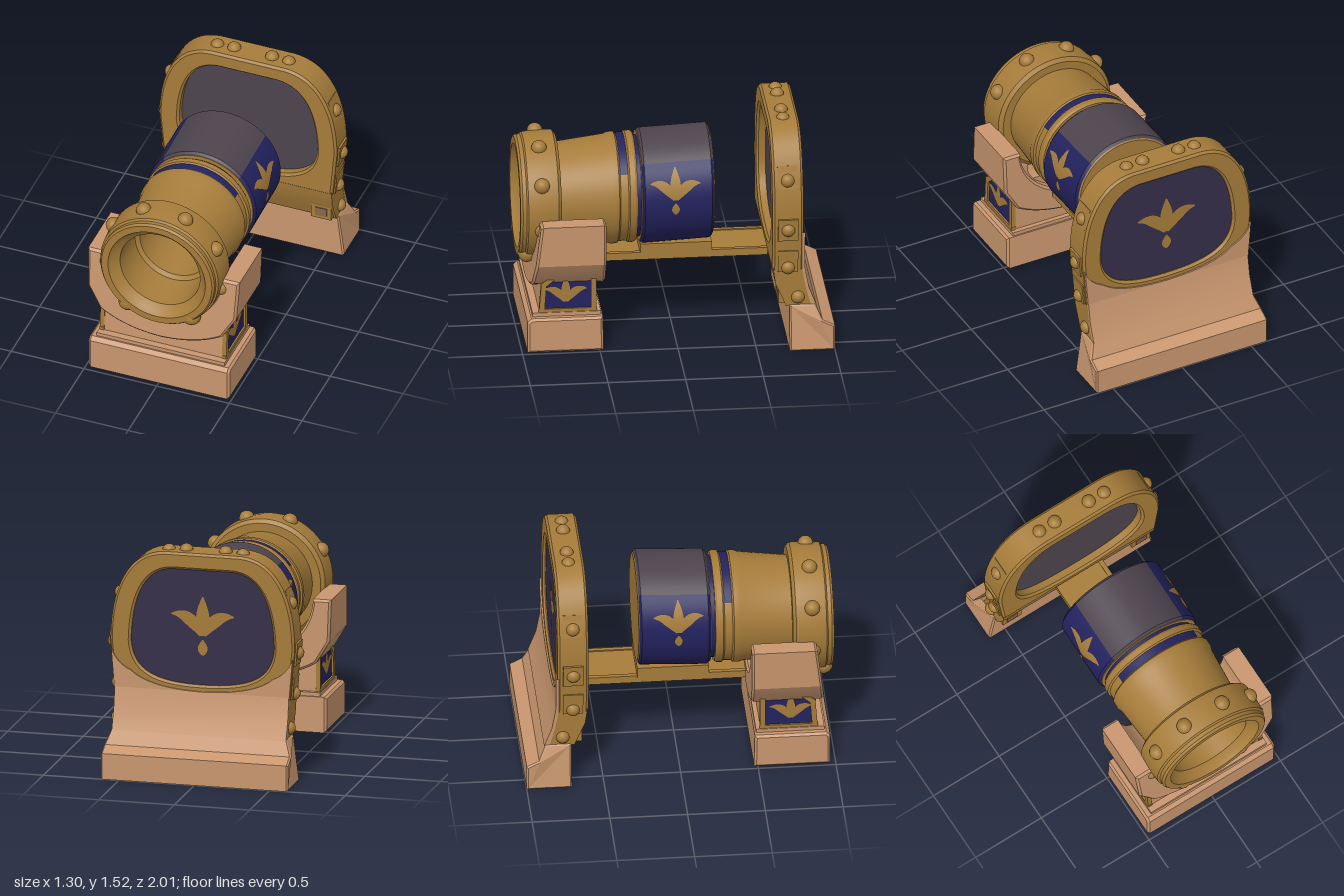
import * as THREE from 'three';
import { toCreasedNormals } from 'three/addons/utils/BufferGeometryUtils.js';

const mat = (name, color, side = THREE.FrontSide) => {
  const m = new THREE.MeshStandardMaterial({ color, side });
  m.name = name;
  return m;
};
const gold = mat('gold', 0xa67c3a, THREE.DoubleSide);
const tan = mat('sandstone', 0xc8966e);
const blue = mat('navy', 0x23225e);
const grey = mat('faded purple', 0x4d444e);
const purple = mat('dark purple', 0x352e4a);
const brown = mat('bore brown', 0x87674a);

// Height of the barrel axis: it rises slightly towards the rear
const axisY = (z) => 0.945 - 0.046 * z;

const deform = (geo, rule) => {
  const p = geo.attributes.position;
  const v = new THREE.Vector3();
  for (let i = 0; i < p.count; i++) {
    rule(v.fromBufferAttribute(p, i));
    p.setXYZ(i, v.x, v.y, v.z);
  }
  geo.computeVertexNormals();
  return geo;
};

// Turned part along the barrel axis; profile is [radius, z]; the arc is centred on mid (PI = top)
function turned(profile, mid = Math.PI, half = Math.PI) {
  const pts = profile.map(([r, z]) => new THREE.Vector2(r, z));
  const geo = new THREE.LatheGeometry(pts, 64, mid - half, half * 2).rotateX(Math.PI / 2);
  return toCreasedNormals(deform(geo, (v) => { v.y += axisY(v.z); }), 0.5);
}

const polygon = (pts) => new THREE.Shape(pts.map(([a, b]) => new THREE.Vector2(a, b)));

// Extrusion between z0 and z1 with a small bevel kept inside that span
function extrudeZ(shape, z0, z1, bevel = 0) {
  const geo = new THREE.ExtrudeGeometry(shape, {
    depth: z1 - z0 - 2 * bevel, curveSegments: 16, bevelEnabled: bevel > 0,
    bevelThickness: bevel, bevelSize: bevel, bevelOffset: -bevel, bevelSegments: 1,
  });
  return toCreasedNormals(geo.translate(0, 0, z0 + bevel), 0.5);
}

// Extrusion along x of a side profile given as [z, y]
const extrudeX = (pts, x0, x1, bevel = 0) =>
  extrudeZ(polygon(pts.map(([z, y]) => [-z, y])), x0, x1, bevel).rotateY(Math.PI / 2);

// Tall arch outline of the rear frame
function archShape() {
  const s = new THREE.Shape();
  s.moveTo(-0.58, 0.55);
  s.lineTo(0.58, 0.55);
  s.lineTo(0.61, 0.88);
  s.bezierCurveTo(0.61, 1.2, 0.5, 1.47, 0.25, 1.48);
  s.lineTo(-0.25, 1.48);
  s.bezierCurveTo(-0.5, 1.47, -0.61, 1.2, -0.61, 0.88);
  return s;
}

// Rounded window outline, used for the hole and for the panel
function windowShape() {
  const s = new THREE.Shape();
  s.moveTo(0, 0.61);
  s.bezierCurveTo(0.32, 0.61, 0.46, 0.68, 0.475, 0.88);
  s.bezierCurveTo(0.47, 1.14, 0.4, 1.36, 0.2, 1.37);
  s.lineTo(-0.2, 1.37);
  s.bezierCurveTo(-0.4, 1.36, -0.47, 1.14, -0.475, 0.88);
  s.bezierCurveTo(-0.46, 0.68, -0.32, 0.61, 0, 0.61);
  return s;
}

// Leaves as start, control, end and half width
const LEAVES = [
  [[0, -0.05], [0, 0.05], [0, 0.15], 0.034],
  [[0.01, -0.05], [0.06, 0.07], [0.16, 0.055], 0.032],
  [[-0.01, -0.05], [-0.06, 0.07], [-0.16, 0.055], 0.032],
  [[0, -0.15], [0, -0.11], [0, -0.07], 0.025],
];

// Leaf ornament; place(u, v) puts the flat pattern onto a surface
function ornament(name, leaves, scale, place) {
  const g = new THREE.Group();
  g.name = name;
  for (const [a, b, c, w] of leaves) {
    const curve = new THREE.QuadraticBezierCurve(
      new THREE.Vector2(...a), new THREE.Vector2(...b), new THREE.Vector2(...c));
    const geo = deform(new THREE.PlaneGeometry(1, 1, 4, 14), (v) => {
      const t = v.y + 0.5;
      const p = curve.getPoint(t), d = curve.getTangent(t);
      const k = v.x * 2 * w * Math.sin(Math.PI * Math.pow(t * 0.94 + 0.03, 0.85));
      v.set(...place((p.x - d.y * k) * scale, (p.y + d.x * k) * scale));
    });
    const leaf = new THREE.Mesh(geo, gold);
    leaf.name = 'leaf';
    g.add(leaf);
  }
  return g;
}

export function createModel() {
  const model = new THREE.Group();
  model.name = 'cannon';
  const add = (name, geo, material) => {
    const m = new THREE.Mesh(geo, material);
    m.name = name;
    model.add(m);
    return m;
  };
  const box = (name, w, h, d, x, y, z, material) =>
    add(name, new THREE.BoxGeometry(w, h, d).translate(x, y, z), material);
  const rivet = (x, y, z, r = 0.045) =>
    add('rivet', new THREE.SphereGeometry(r, 16, 10).translate(x, y, z), gold);

  // Barrel: rear cap, rings, tapering tube, flared muzzle and bore in one profile
  add('barrel', turned([
    [0, -0.255], [0.345, -0.255], [0.355, -0.245], [0.355, 0.215], [0.325, 0.215], [0.325, 0.24],
    [0.35, 0.24], [0.36, 0.255], [0.36, 0.29], [0.348, 0.3], [0.348, 0.35], [0.36, 0.36],
    [0.36, 0.4], [0.35, 0.425], [0.325, 0.735], [0.38, 0.735], [0.405, 0.755], [0.412, 0.86],
    [0.405, 0.95], [0.392, 0.96], [0.392, 0.985], [0.38, 1], [0.335, 1], [0.315, 0.97],
    [0.275, 0.94], [0.265, 0.7], [0.24, 0.68], [0.225, 0.35], [0.185, 0.0],
  ]), gold);
  add('boreFloor', new THREE.CircleGeometry(0.19, 32).translate(0, axisY(0), 0.004), brown);

  // Painted drum, with the faded strip along its top
  const drum = [[0.355, -0.25], [0.371, -0.235], [0.371, 0.195], [0.355, 0.21]];
  add('drumSides', turned(drum, 0, Math.PI - 0.8), blue);
  add('drumTop', turned(drum, Math.PI, 0.8), grey);
  add('neckBand', turned([[0.328, 0.212], [0.328, 0.242]]), blue);
  add('ringInlay', turned([[0.352, 0.3], [0.352, 0.35]], Math.PI, 0.95), blue);
  for (const s of [1, -1]) {
    model.add(ornament('drumOrnament', LEAVES, 1, (u, v) => {
      const y = v + 1.03;
      const dy = y - axisY(u);
      return [s * Math.sqrt(0.375 ** 2 - dy * dy), y, u];
    }));
  }

  // Muzzle rivets
  for (const s of [1, -1]) {
    for (const a of [0.36, 1.05, 1.8]) {
      rivet(s * 0.405 * Math.sin(a), axisY(0.86) + 0.405 * Math.cos(a), 0.86, 0.05);
    }
    rivet(s * 0.22, 0.59, 0.945, 0.06);
  }

  // Plank under the barrel
  box('plank', 0.34, 0.035, 1.06, 0, 0.515, -0.08, gold);
  box('drumPad', 0.36, 0.07, 0.46, 0, 0.565, -0.02, gold);
  for (const s of [1, -1]) box('plankRail', 0.03, 0.05, 1.06, s * 0.16, 0.515, -0.08, gold);

  // Front base and pedestal
  add('frontBase', extrudeX([[0.965, 0], [0.965, 0.21], [0.94, 0.235], [0.48, 0.235], [0.475, 0]],
    -0.485, 0.485, 0.015), tan);
  box('baseStep', 0.88, 0.04, 0.44, 0, 0.24, 0.71, tan);
  const side = [[0.52, 0.25], [0.52, 0.62], [0.6, 0.61], [0.74, 0.56], [0.87, 0.45], [0.885, 0.25]];
  add('pedestal', extrudeX(side, -0.415, 0.415), tan);

  // Saddle that holds the muzzle
  const saddle = new THREE.Shape();
  saddle.moveTo(-0.4, 0.885);
  saddle.lineTo(-0.52, 0.885);
  saddle.lineTo(-0.51, 0.61);
  saddle.lineTo(-0.42, 0.46);
  saddle.quadraticCurveTo(-0.25, 0.355, 0, 0.35);
  saddle.quadraticCurveTo(0.25, 0.355, 0.42, 0.46);
  saddle.lineTo(0.51, 0.61);
  saddle.lineTo(0.52, 0.885);
  saddle.lineTo(0.4, 0.885);
  saddle.absarc(0, 0.905, 0.4, -0.05, Math.PI + 0.05, true);
  add('saddle', toCreasedNormals(deform(extrudeZ(saddle, 0.46, 0.88, 0.015), (v) => {
    if (v.z > 0.7) v.z += (0.885 - v.y) * 0.12;
  }), 0.5), tan);

  // Framed emblems on the pedestal sides
  for (const s of [1, -1]) {
    const shrink = side.map(([z, y]) => [0.7 + (z - 0.7) * 0.82, 0.43 + (y - 0.43) * 0.82]);
    const plate = (pts, a, b) => extrudeX(pts, Math.min(s * a, s * b), Math.max(s * a, s * b));
    add('emblemPanel', plate(shrink, 0.41, 0.423), blue);
    side.forEach(([z, y], i) => {
      const [z2, y2] = side[(i + 1) % side.length];
      const bar = box('emblemFrame', 0.03, 0.035, Math.hypot(z2 - z, y2 - y) + 0.01, 0, 0, 0, gold);
      const cz = (z + z2) / 2, cy = (y + y2) / 2;
      bar.position.set(s * 0.42, cy + (0.43 - cy) * 0.08, cz + (0.7 - cz) * 0.08);
      bar.rotation.x = -Math.atan2(y2 - y, z2 - z);
    });
    model.add(ornament('emblemOrnament', LEAVES.slice(0, 3), 0.85,
      (u, v) => [s * 0.427, v + 0.37, u + 0.715]));
  }

  // Rear base, tapered at the top
  add('rearBase', deform(extrudeX([[-0.71, 0], [-0.71, 0.31], [-0.875, 0.31], [-0.92, 0.21],
    [-1, 0.17], [-1, 0]], -0.62, 0.62, 0.01), (v) => { if (v.y > 0.25) v.x *= 0.94; }), tan);

  // Rear arch with its panel
  const arch = archShape();
  arch.holes.push(windowShape());
  add('archFrame', extrudeZ(arch, -0.8, -0.6, 0.015), gold);
  add('panelFront', extrudeZ(windowShape(), -0.72, -0.66), grey);
  add('panelBack', extrudeZ(windowShape(), -0.78, -0.72), purple);
  model.add(ornament('panelOrnament', LEAVES, 1.3, (u, v) => [u, v + 1.0, -0.785]));

  // Flared foot of the arch, faced with stone behind
  add('archFoot', extrudeX([[-0.605, 0.57], [-0.62, 0.46], [-0.69, 0.3], [-0.86, 0.3],
    [-0.82, 0.43], [-0.795, 0.57]], -0.575, 0.575), gold);
  add('footFacing', extrudeX([[-0.79, 0.57], [-0.815, 0.43], [-0.85, 0.3], [-0.885, 0.3],
    [-0.835, 0.43], [-0.81, 0.57]], -0.577, 0.577), tan);
  const facing = new THREE.Shape();
  facing.moveTo(-0.578, 0.55);
  facing.lineTo(0.578, 0.55);
  facing.lineTo(0.6, 0.82);
  facing.quadraticCurveTo(0.56, 0.72, 0.47, 0.685);
  facing.quadraticCurveTo(0.35, 0.575, 0, 0.57);
  facing.quadraticCurveTo(-0.35, 0.575, -0.47, 0.685);
  facing.quadraticCurveTo(-0.56, 0.72, -0.6, 0.82);
  add('archFacing', extrudeZ(facing, -0.81, -0.79), tan);

  // Rivets and raised plates around the arch
  for (const s of [1, -1]) {
    for (const [x, y, z] of [[0.13, 1.475, -0.7], [0.245, 1.465, -0.7], [0.56, 1.17, -0.7],
      [0.605, 0.845, -0.7], [0.58, 0.575, -0.7], [0.565, 0.36, -0.765]]) rivet(s * x, y, z);
    for (const [x, y, lean] of [[0.553, 1.19, 0.3], [0.605, 0.845, -0.08], [0.583, 0.62, -0.08]]) {
      const p = box('archPlate', 0.025, 0.15, 0.13, 0, 0, 0, gold);
      p.position.set(s * x, y, -0.7);
      p.rotation.z = s * lean;
    }
    box('footBlock', 0.14, 0.11, 0.1, s * 0.49, 0.37, -0.69, gold);
    box('footRecess', 0.08, 0.06, 0.008, s * 0.49, 0.37, -0.638, brown);
  }
  return model;
}
